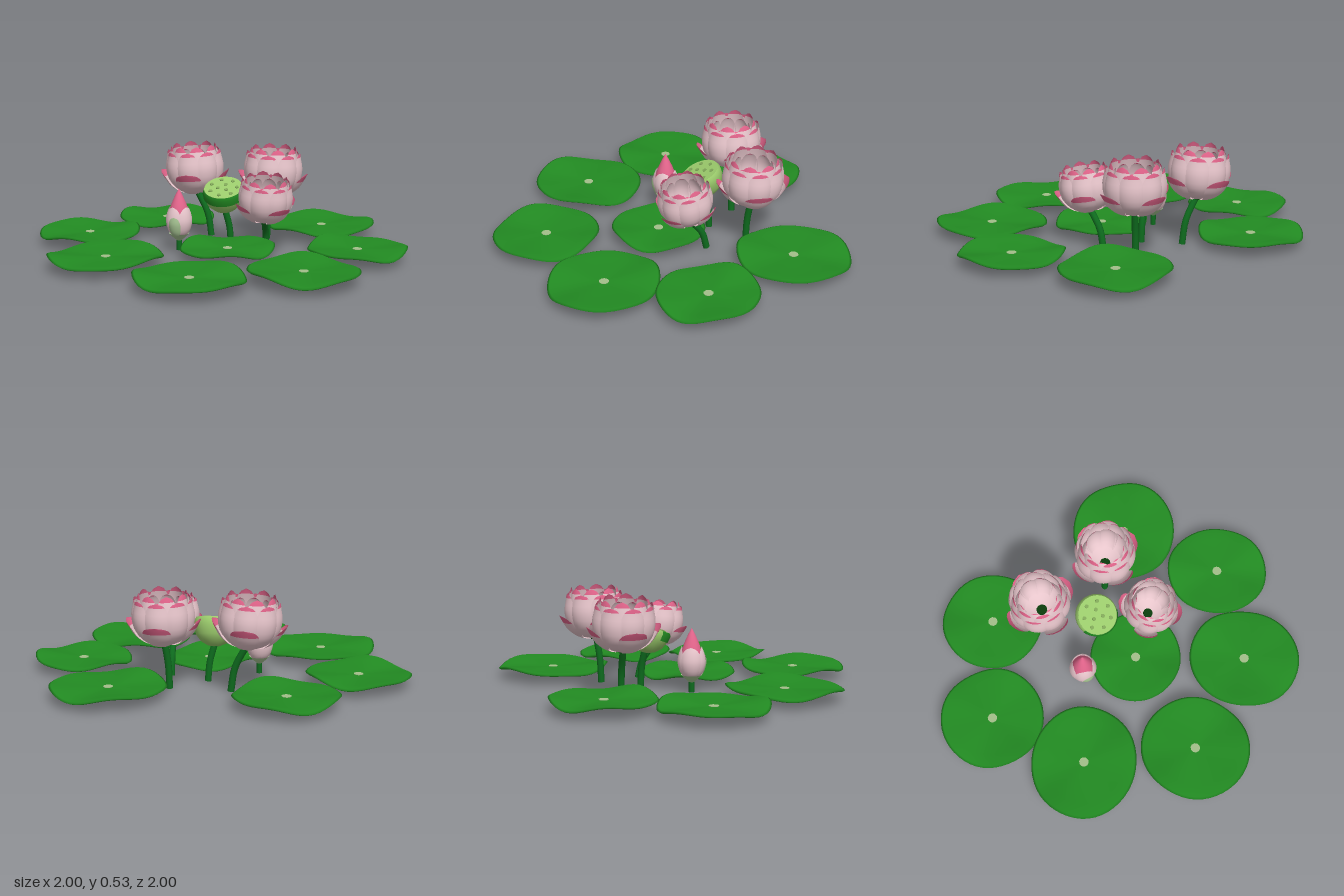
import * as THREE from 'three';
import { mergeVertices } from 'three/addons/utils/BufferGeometryUtils.js';

const mat = (name, color, side = THREE.FrontSide) => {
  const m = new THREE.MeshStandardMaterial({ color, side });
  m.name = name;
  return m;
};
const V2 = (p) => p.map(([x, y]) => new THREE.Vector2(x, y));

export function createModel() {
  const leafGreen = mat('leaf green', 0x228b22);
  const stemGreen = mat('stem green', 0x0e6b1e);
  const darkGreen = mat('dark green', 0x0a3d0c);
  const spotGreen = mat('pale spot green', 0xa3bf8a);
  const podGreen = mat('pod green', 0x9bcb6c, THREE.DoubleSide);
  const seedGreen = mat('seed green', 0x7fa657);
  const palePink = mat('pale pink', 0xe8c6cc, THREE.DoubleSide);
  const tipPink = mat('tip pink', 0xe4658c, THREE.DoubleSide);
  const sepalGreen = mat('sepal green', 0xa9c795, THREE.DoubleSide);

  const model = new THREE.Group();
  const add = (parent, name, geo, material, x = 0, y = 0, z = 0) => {
    const m = new THREE.Mesh(geo, material);
    m.name = name;
    m.position.set(x, y, z);
    parent.add(m);
    return m;
  };
  const group = (name, x, y, z) => {
    const g = new THREE.Group();
    g.name = name;
    g.position.set(x, y, z);
    model.add(g);
    return g;
  };
  const stem = (a, b, r = 0.018) => {
    const p = new THREE.Vector3(...a), q = new THREE.Vector3(...b);
    const mid = p.clone().lerp(q, 0.5);
    mid.x = (mid.x + p.x) / 2;
    mid.z = (mid.z + p.z) / 2;
    const path = new THREE.CatmullRomCurve3([p, mid, q]);
    add(model, 'stem', new THREE.TubeGeometry(path, 8, r, 10), stemGreen);
    add(model, 'stemFoot', new THREE.CircleGeometry(r, 10).rotateX(Math.PI / 2), stemGreen, ...a);
  };

  // Floating leaves: thin round pads with a raised, wavy rim
  const leaf = (x, z, rx, rz, seed) => {
    const h = 0.007;
    const g = group('leaf', x, 0.048, z);
    let geo = new THREE.LatheGeometry(V2([[0, -h], [0.25, -h], [0.5, -h], [0.75, -h], [0.96, -h], [1, 0],
      [0.96, h], [0.75, h], [0.5, h], [0.25, h], [0, h]]), 48);
    geo.deleteAttribute('uv');
    geo.deleteAttribute('normal');
    geo = mergeVertices(geo);
    const p = geo.attributes.position;
    for (let i = 0; i < p.count; i++) {
      const px = p.getX(i), pz = p.getZ(i), t = Math.hypot(px, pz), a = Math.atan2(pz, px);
      const wave = 0.013 * Math.sin(3 * a + seed) + 0.007 * Math.sin(5 * a + 2.3 * seed);
      p.setXYZ(i, px * rx, p.getY(i) + t ** 2 * (0.014 + wave), pz * rz);
    }
    geo.computeVertexNormals();
    add(g, 'leafPad', geo, leafGreen);
    add(g, 'leafSpot', new THREE.CylinderGeometry(0.026, 0.026, 0.004, 10), spotGreen, 0, h + 0.001, 0);
    add(g, 'leafUnderSpot', new THREE.CylinderGeometry(0.026, 0.026, 0.004, 10), darkGreen, 0, -h - 0.001, 0);
  };
  [
    [-0.52, -0.62, 0.28, 0.28], [0.032, -0.72, 0.275, 0.28], [-0.688, -0.088, 0.312, 0.283], [0.69, -0.08, 0.308, 0.288],
    [-0.055, 0.1, 0.257, 0.25], [-0.52, 0.495, 0.282, 0.295], [0.028, 0.695, 0.28, 0.303], [0.525, 0.48, 0.26, 0.28],
  ].forEach(([x, z, rx, rz], i) => leaf(x, z, rx, rz, i * 1.7 + 0.6));

  // One cupped petal following a profile of [radius, height]; the last rows form the tip
  const petal = (parent, name, profile, angle, halfAngle, tipRows, body = palePink) => {
    const cols = 8, rows = 14;
    const geo = new THREE.PlaneGeometry(1, 1, cols, rows);
    const curve = new THREE.SplineCurve(V2(profile));
    const p = geo.attributes.position;
    for (let i = 0; i < p.count; i++) {
      const u = p.getY(i) + 0.5, v = p.getX(i) * 2;
      const c = curve.getPoint(u);
      const k = Math.max(0, (u - 0.55) / 0.45);
      const w = u < 0.55 ? 0.6 + 0.4 * Math.sin((u / 0.55) * Math.PI / 2) : Math.max(0.03, (1 - k * k) ** 0.6);
      const a = angle + v * w * halfAngle, r = c.x * (1 - 0.07 * (v * w) ** 2);
      p.setXYZ(i, r * Math.sin(a), c.y, r * Math.cos(a));
    }
    geo.computeVertexNormals();
    geo.clearGroups();
    const split = tipRows * cols * 6;
    if (split) geo.addGroup(0, split, 1);
    geo.addGroup(split, Infinity, 0);
    add(parent, name, geo, [body, tipPink]);
  };

  // Open flowers: four rings of petals around a shallow floor
  const rings = [
    { name: 'outerPetal', n: 4, half: 0.5, tip: 4, turn: 0, profile: [[0.02, -0.004], [0.09, 0.008], [0.15, 0.05], [0.182, 0.1], [0.2, 0.135]] },
    { name: 'middlePetal', n: 8, half: 0.45, tip: 2, turn: 0, profile: [[0.02, 0], [0.09, 0.016], [0.15, 0.075], [0.168, 0.15], [0.158, 0.215], [0.152, 0.25]] },
    { name: 'innerPetal', n: 8, half: 0.45, tip: 2, turn: 0.5, profile: [[0.02, 0.004], [0.08, 0.022], [0.135, 0.08], [0.152, 0.16], [0.138, 0.235], [0.125, 0.28]] },
    { name: 'heartPetal', n: 8, half: 0.45, tip: 1, turn: 0, profile: [[0.02, 0.008], [0.07, 0.026], [0.118, 0.08], [0.13, 0.15], [0.115, 0.21], [0.1, 0.24]] },
  ];
  const flower = (x, y, z, scale, yaw, tiltX, tiltZ) => {
    const g = group('flower', x, y, z);
    g.scale.setScalar(scale);
    g.rotation.set(tiltX, 0, tiltZ);
    for (const { name, n, half, tip, turn, profile } of rings)
      for (let i = 0; i < n; i++) petal(g, name, profile, yaw + (i + turn) * Math.PI * 2 / n, half, tip);
    add(g, 'flowerFloor', new THREE.LatheGeometry(V2([[0, 0.012], [0.05, 0.018], [0.09, 0.045]]), 24), palePink);
    add(g, 'flowerHeart', new THREE.CylinderGeometry(0.03, 0.03, 0.03, 10), darkGreen, 0, 0.009, 0);
  };
  const q = Math.PI / 4;
  flower(0.387, 0.25, -0.138, 0.99, q, 0, -0.03);
  flower(0.065, 0.25, -0.435, 0.99, q, -0.04, 0.04);
  flower(0.158, 0.185, 0.132, 0.88, 0, 0.13, 0.03);
  stem([0.355, 0.005, -0.138], [0.385, 0.26, -0.138]);
  stem([0.12, 0.005, -0.36], [0.07, 0.26, -0.43]);
  stem([0.225, 0.005, 0.05], [0.16, 0.195, 0.13]);

  // Seed pod: rounded bowl with a tilted, seeded face
  const pod = group('seedPod', 0.07, 0.29, -0.14);
  pod.quaternion.setFromUnitVectors(new THREE.Vector3(0, 1, 0), new THREE.Vector3(-0.3, 1, 0.3).normalize());
  add(pod, 'podBowl', new THREE.LatheGeometry(V2([[0, -0.1], [0.035, -0.095], [0.07, -0.077], [0.098, -0.045],
    [0.113, 0], [0.114, 0.03], [0.106, 0.045]]), 32), podGreen);
  add(pod, 'podFace', new THREE.CylinderGeometry(0.106, 0.106, 0.006, 32), podGreen, 0, 0.043, 0);
  add(pod, 'podRim', new THREE.LatheGeometry(V2([[0.115, -0.005], [0.117, 0.03], [0.108, 0.047]]), 16, -Math.PI * 0.65, Math.PI * 0.8), leafGreen);
  for (let i = 0; i < 10; i++) {
    const r = i < 3 ? 0.03 : 0.075, a = i * Math.PI * 2 / (i < 3 ? 3 : 7);
    add(pod, 'seed', new THREE.CylinderGeometry(0.011, 0.011, 0.006, 8), seedGreen, r * Math.sin(a), 0.047, r * Math.cos(a));
  }
  stem([0.115, 0.005, -0.14], [0.082, 0.21, -0.155]);

  // Closed bud: pink core wrapped in pale petals and sepals
  const bud = group('bud', -0.199, 0, -0.17);
  add(bud, 'budCore', new THREE.LatheGeometry(V2([[0.01, 0.075], [0.05, 0.11], [0.064, 0.16], [0.058, 0.21],
    [0.04, 0.265], [0.018, 0.315], [0, 0.348]]), 20), tipPink);
  const budProfile = [[0.012, 0.07], [0.055, 0.105], [0.074, 0.16], [0.068, 0.21], [0.052, 0.25]];
  for (let i = 0; i < 4; i++) petal(bud, 'budPetal', budProfile, 0.35 + i * Math.PI / 2, 0.95, 0);
  const sepalProfile = [[0.014, 0.065], [0.058, 0.1], [0.078, 0.155], [0.076, 0.2]];
  petal(bud, 'budSepal', sepalProfile, -0.9, 0.5, 0, sepalGreen);
  add(bud, 'budBase', new THREE.LatheGeometry(V2([[0.014, 0.06], [0.04, 0.083], [0.056, 0.1]]), 20), sepalGreen);
  stem([-0.199, 0.005, -0.17], [-0.199, 0.08, -0.17], 0.015);

  // Rest the lowest point on the ground
  model.updateMatrixWorld(true);
  const low = new THREE.Box3().setFromObject(model).min.y;
  model.children.forEach((c) => { c.position.y -= low; });
  return model;
}
